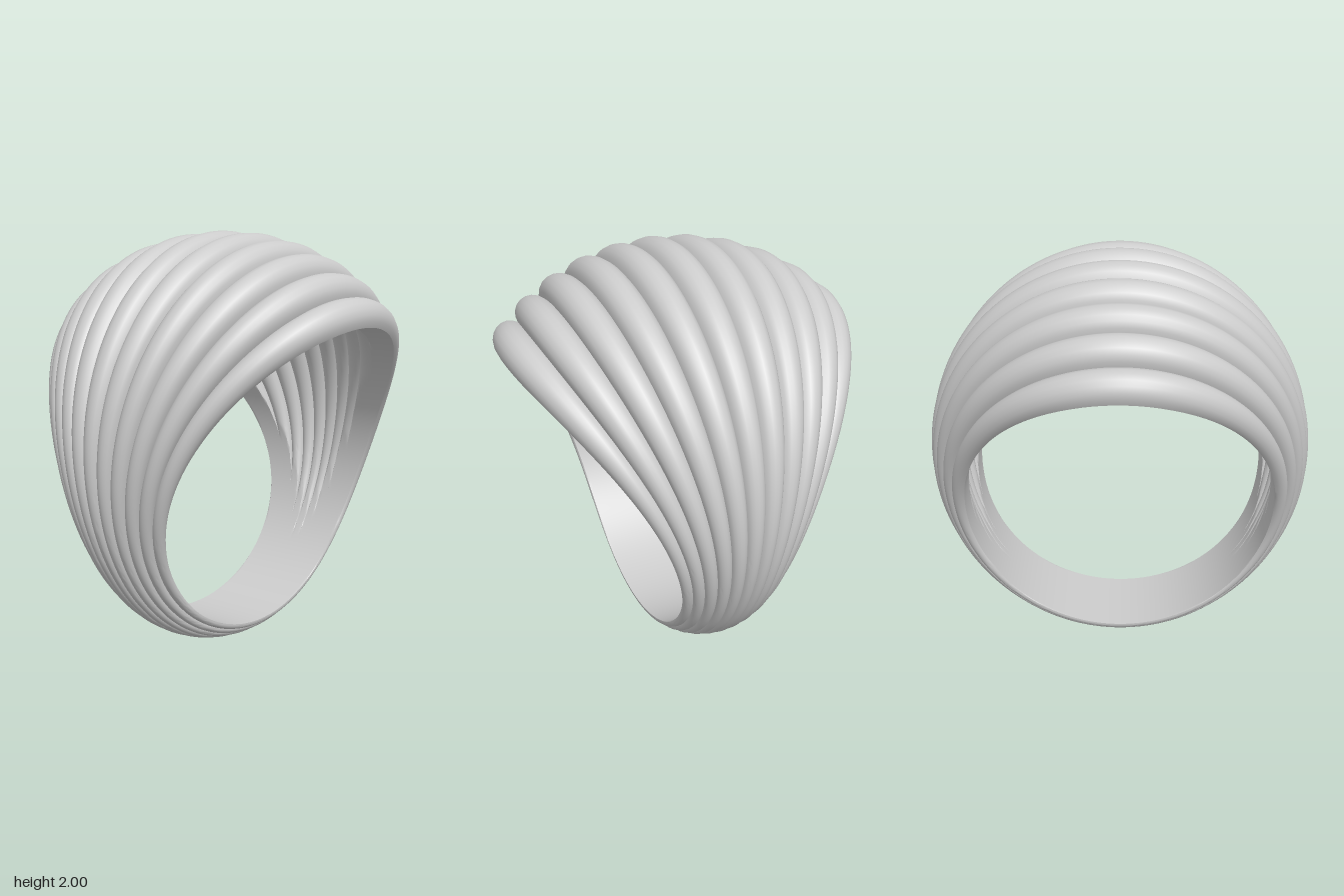
import * as THREE from 'three';
import { toCreasedNormals } from 'three/addons/utils/BufferGeometryUtils.js';

const HOLE_Y = 0.835, HOLE_R = 0.73; // finger hole
const RIBS = 5;                      // ribs on each side of the middle one
const STEP = 0.153, FAN_R = 1.08, RIB_R = 0.0855;
const AROUND = 180, ARC = 8;

// Distance from the hole centre to the outer ellipse (0.92 x 1, centred at y = 1)
function outerRadius(a) {
  const s = Math.sin(a) / 0.92, c = Math.cos(a), d = HOLE_Y - 1;
  const A = s * s + c * c, B = 2 * c * d, C = d * d - 1;
  return (-B + Math.sqrt(B * B - 4 * A * C)) / (2 * A);
}

// Samples of the closed section: rib fan angle, angle around the rib, inner side or not
function sectionSamples() {
  const half = Math.asin(FAN_R * Math.sin(STEP / 2) / RIB_R);
  const uOut = half + STEP / 2, uIn = half - STEP / 2;
  const list = [];
  for (let j = -RIBS; j <= RIBS; j++)
    for (let k = 0; k < ARC + (j === RIBS ? 1 : 0); k++)
      list.push({ phi: j * STEP, u: -uOut + 2 * uOut * k / ARC, inner: false });
  list.push({ phi: RIBS * STEP, u: Math.PI / 2, inner: false });
  for (let j = RIBS; j >= -RIBS; j--)
    for (let k = 0; k < ARC + (j === -RIBS ? 1 : 0); k++)
      list.push({ phi: j * STEP, u: Math.PI - uIn + 2 * uIn * k / ARC, inner: true });
  list.push({ phi: -RIBS * STEP, u: -Math.PI / 2, inner: false });
  return list;
}

// Fan of ribs swept round the finger, shrinking from crown to band
function ribbedRing() {
  const samples = sectionSamples(), n = samples.length;
  const pos = [], idx = [];
  for (let i = 0; i < AROUND; i++) {
    const a = i / AROUND * Math.PI * 2;
    const c = (1 + Math.cos(a)) / 2;
    const s = 0.26 + 0.74 * Math.pow(c, 2.4);
    const rib = RIB_R * s;
    const wall = 0.125 + 0.046 * c;
    const top = outerRadius(a) - rib;
    for (const { phi, u, inner } of samples) {
      let r = top - FAN_R * s * (1 - Math.cos(phi)) + rib * Math.cos(phi + u);
      if (inner) r -= Math.max(0, wall - 2 * rib);
      r = Math.max(r, HOLE_R); // the hole cuts the ribs flat
      const z = FAN_R * s * Math.sin(phi) + rib * Math.sin(phi + u);
      pos.push(r * Math.sin(a), HOLE_Y + r * Math.cos(a), z);
    }
  }
  for (let i = 0; i < AROUND; i++) {
    const i2 = (i + 1) % AROUND;
    for (let p = 0; p < n; p++) {
      const q = (p + 1) % n;
      idx.push(i * n + p, i * n + q, i2 * n + p, i * n + q, i2 * n + q, i2 * n + p);
    }
  }
  const geo = new THREE.BufferGeometry();
  geo.setAttribute('position', new THREE.Float32BufferAttribute(pos, 3));
  geo.setIndex(idx);
  return toCreasedNormals(geo, 0.6);
}

export function createModel() {
  const group = new THREE.Group();
  group.name = 'ring';
  const mesh = new THREE.Mesh(ribbedRing(), new THREE.MeshStandardMaterial({ color: 0xcccccc }));
  mesh.name = 'ribbedBand';
  group.add(mesh);
  return group;
}
